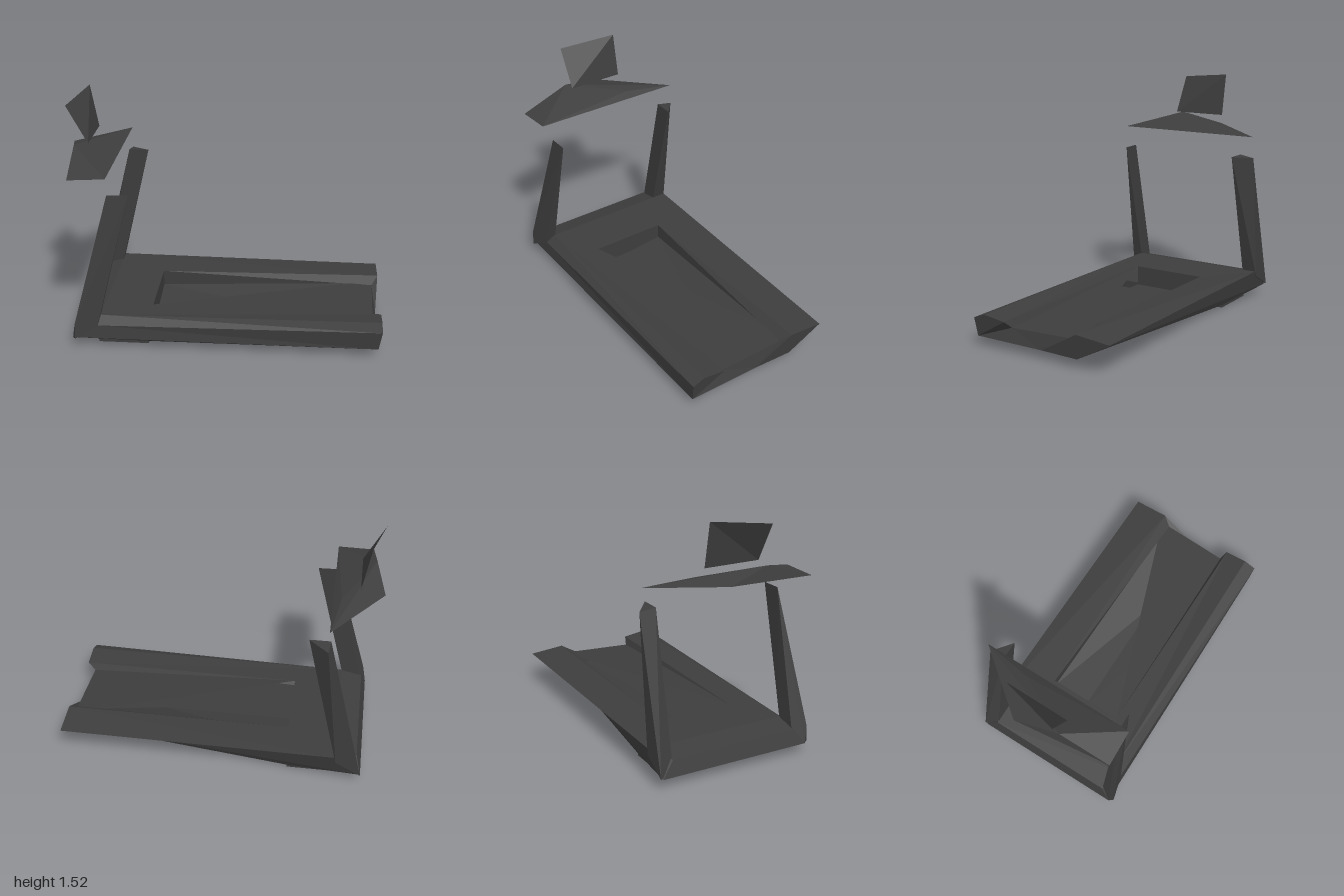
import * as THREE from 'three';
import { ConvexGeometry } from 'three/addons/geometries/ConvexGeometry.js';

// Flat-faced surface from polygons given as rings of named corners
function faceted(points, faces) {
  const pos = [];
  for (const face of faces) {
    const ring = face.split(' ').map((k) => points[k]);
    for (let i = 1; i < ring.length - 1; i++) pos.push(...ring[0], ...ring[i], ...ring[i + 1]);
  }
  const geo = new THREE.BufferGeometry();
  geo.setAttribute('position', new THREE.Float32BufferAttribute(pos, 3));
  geo.computeVertexNormals();
  return geo;
}

const hull = (pts) => new ConvexGeometry(pts.map((p) => new THREE.Vector3(...p)));

export function createModel() {
  const group = new THREE.Group();
  const charcoal = new THREE.MeshStandardMaterial({ color: 0x3d3d3d, side: THREE.DoubleSide, flatShading: true });
  charcoal.name = 'charcoal';
  const add = (name, geo) => {
    const mesh = new THREE.Mesh(geo, charcoal);
    mesh.name = name;
    group.add(mesh);
  };

  // Corners of the running deck
  const d = {
    // head end
    headBackTop: [-0.91, 0.16, -0.42], headFrontTop: [-0.91, 0.16, 0.42],
    headBackLow: [-0.94, 0.065, -0.5], headFrontLow: [-0.94, 0.065, 0.49],
    shoulderBack: [-0.77, 0.195, -0.51], shoulderFront: [-0.77, 0.195, 0.42],
    sideFront: [-0.78, 0.15, 0.48],
    // tail end
    tailFront: [1, 0.21, 0.41], tailSide: [1, 0.18, 0.49], tailInner: [1, 0.19, 0.26],
    tailBackInner: [1, 0.21, -0.26], tailBack: [1, 0.19, -0.49],
    tailLowFront: [0.98, 0.06, 0.48], tailLowMid: [0.98, 0.06, 0], tailLowBack: [0.99, 0.06, -0.26],
    // underside fold
    keelBack: [-0.47, 0.02, -0.42], keelFront: [-0.47, 0.02, 0.42],
    // belt recess
    rimBack: [-0.46, 0.192, -0.25], rimFront: [-0.46, 0.192, 0.25],
    beltFront: [0.95, 0.145, 0.24], beltBack: [0.96, 0.165, -0.2], beltTip: [0.82, 0.17, -0.21],
    pitBack: [-0.46, 0.09, -0.25], pitMid: [-0.46, 0.06, 0], pitFront: [-0.46, 0.06, 0.25],
    pitEnd: [0.4, 0.06, 0], pitEndFront: [0.4, 0.06, 0.25],
  };

  add('deck', faceted(d, [
    // top frame
    'headBackTop headFrontTop shoulderFront shoulderBack',
    'shoulderBack shoulderFront rimFront rimBack',
    'shoulderFront tailFront tailInner rimFront',
    'shoulderBack rimBack tailBackInner tailBack',
    // front side
    'shoulderFront sideFront tailSide tailFront',
    'headFrontTop headFrontLow sideFront shoulderFront',
    'sideFront headFrontLow tailLowFront tailSide',
    // head end and back side
    'headFrontLow headFrontTop headBackTop headBackLow',
    'headBackTop shoulderBack headBackLow',
    'shoulderBack tailBack tailLowBack headBackLow',
    // underside
    'headBackLow keelBack keelFront headFrontLow',
    'keelBack tailLowBack tailLowMid tailLowFront keelFront',
    'headFrontLow keelFront tailLowFront',
    'headBackLow tailLowBack keelBack',
    // tail end
    'tailLowFront tailLowMid beltFront tailInner tailFront tailSide',
    'tailLowMid beltBack beltFront',
    'tailLowMid tailLowBack tailBackInner beltBack',
    'tailLowBack tailBack tailBackInner',
  ]));

  add('belt', faceted(d, [
    'rimFront beltFront beltBack beltTip',
    'rimFront tailInner beltFront',
    'rimBack pitBack beltTip beltBack tailBackInner',
    'rimBack rimFront pitFront pitMid pitBack',
    'pitBack pitMid pitEnd beltTip',
    'pitMid pitFront pitEndFront pitEnd',
  ]));

  // Foot block below the head end
  add('foot', new THREE.BoxGeometry(0.32, 0.07, 0.83).translate(-0.63, 0.035, 0));

  // Leaning posts: the back one keeps its width, the front one tapers to an edge
  add('backPost', hull([
    [-0.94, 0.07, -0.515], [-0.91, 0.1, -0.42], [-0.77, 0.19, -0.415], [-0.78, 0.16, -0.515],
    [-0.69, 1.0, -0.515], [-0.7, 1.015, -0.415], [-0.57, 1.015, -0.415],
  ]));
  add('frontPost', hull([
    [-0.94, 0.065, 0.49], [-0.92, 0.07, 0.518], [-0.92, 0.17, 0.515], [-0.91, 0.1, 0.42],
    [-0.77, 0.2, 0.415], [-0.78, 0.15, 0.485],
    [-0.7, 1.01, 0.418], [-0.57, 1.01, 0.415],
  ]));

  // Console wedge
  add('console', hull([
    [-0.69, 1.14, -0.51], [-0.69, 1.14, 0.49], [-0.92, 1.13, 0.5],
    [-0.94, 1.24, 0.17], [-1, 1.17, -0.11], [-0.74, 1.17, -0.19],
  ]));

  // Twisted display panel
  const s = {
    lowFront: [-0.85, 1.25, 0.17], lowBack: [-0.85, 1.25, -0.19],
    topBack: [-0.9, 1.525, -0.19], topFront: [-0.98, 1.49, 0.17],
  };
  add('display', faceted(s, ['lowFront lowBack topBack', 'lowFront topBack topFront']));

  return group;
}
